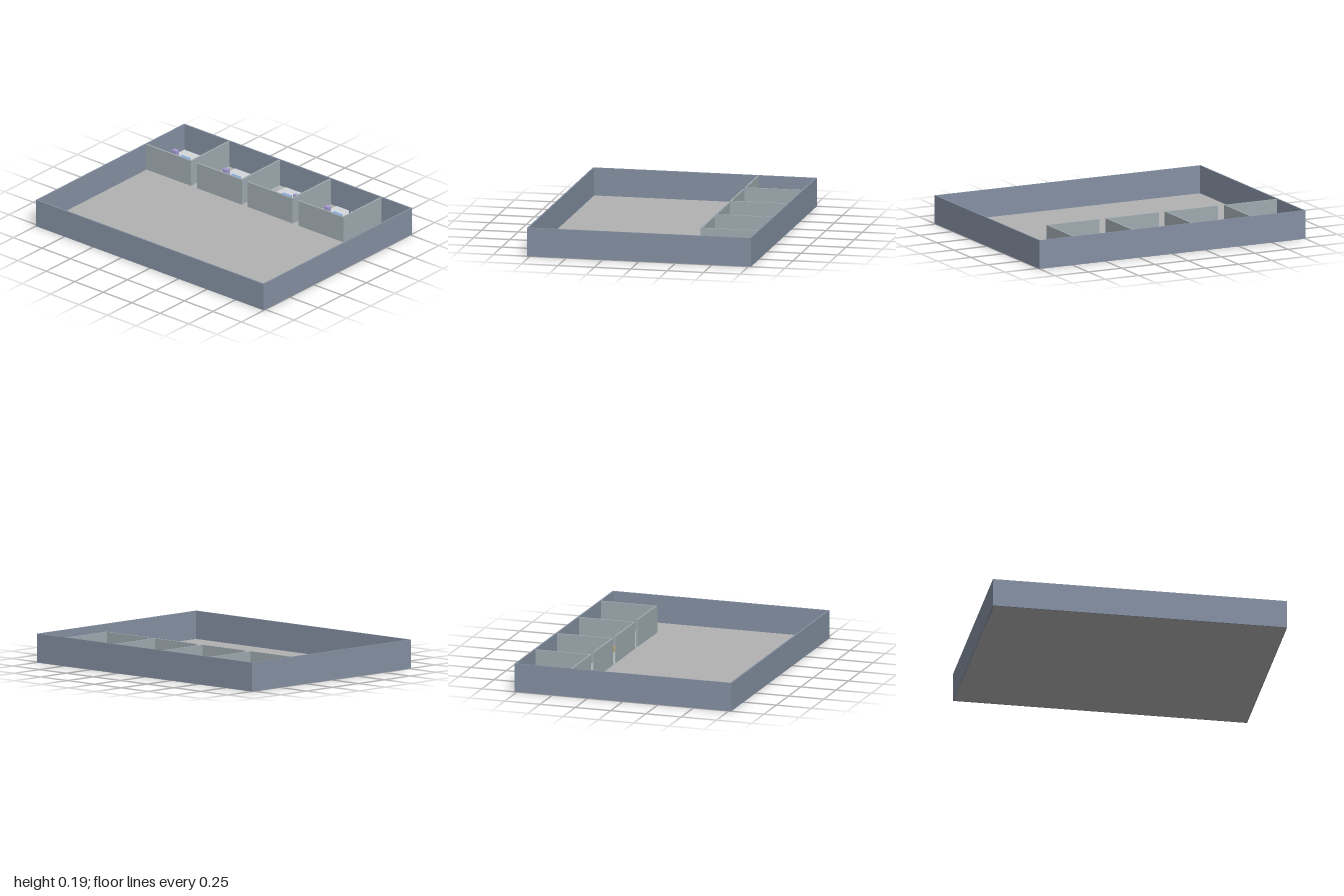
import * as THREE from 'three';

const material = (color) => new THREE.MeshStandardMaterial({ color });
const MAT = {
  ground: material(0xb2b2b2),
  outerWall: material(0x8591a3),
  roomWall: material(0xa0abb0),
  roomFloor: material(0xd3d7da),
  bed: material(0x7fabdf),
  table: material(0x5c6470),
  chest: material(0xd8b13c),
  cabinet: material(0xa79bd4),
  bin: material(0x5fb08f),
  post: material(0x8088a8),
};

// Box given by its extents along x, y and z
function box(parent, name, mat, [x0, x1], [y0, y1], [z0, z1]) {
  const mesh = new THREE.Mesh(new THREE.BoxGeometry(x1 - x0, y1 - y0, z1 - z0), mat);
  mesh.name = name;
  mesh.position.set((x0 + x1) / 2, (y0 + y1) / 2, (z0 + z1) / 2);
  parent.add(mesh);
}

const TOP = 0.195, DEPTH = 0.768, WALL = 0.01;
const FLOOR = 0.005, ROOM_FLOOR = 0.009;
const PITCH = 0.445;

// Loose items that differ between rooms: name, material, x, z, top (room-local x)
const EXTRAS = [
  [
    ['cabinet', 'cabinet', [0.015, 0.053], [-0.64, -0.61], 0.065],
    ['chest', 'chest', [0.275, 0.315], [-0.466, -0.428], 0.045],
    ['tableBox', 'chest', [0.24, 0.275], [-0.612, -0.565], 0.06],
  ],
  [
    ['cabinet', 'cabinet', [0.015, 0.053], [-0.64, -0.61], 0.065],
    ['chest', 'chest', [0.275, 0.315], [-0.45, -0.412], 0.045],
  ],
  [
    ['cabinet', 'cabinet', [0.185, 0.218], [-0.64, -0.615], 0.065],
    ['chest', 'chest', [0.25, 0.295], [-0.486, -0.436], 0.045],
    ['smallBin', 'bin', [0.307, 0.329], [-0.738, -0.72], 0.03],
  ],
  [
    ['cabinet', 'cabinet', [0.015, 0.053], [-0.64, -0.61], 0.065],
    ['sideCabinet', 'cabinet', [0.27, 0.309], [-0.562, -0.537], 0.06],
    ['post', 'post', [0.185, 0.195], [-0.68, -0.67], 0.105],
  ],
];

function createRoom(index) {
  const room = new THREE.Group();
  room.name = `room${index + 1}`;
  room.position.x = -0.99 + index * PITCH;

  // Floor with a front wall and one side partition; the other side stays open
  box(room, 'roomFloor', MAT.roomFloor, [0, 0.395], [0.003, ROOM_FLOOR], [-0.757, -0.362]);
  box(room, 'frontPartition', MAT.roomWall, [0, 0.395], [0.003, 0.193], [-0.374, -0.362]);
  box(room, 'sidePartition', MAT.roomWall, [0.383, 0.395], [0.003, 0.193], [-0.757, -0.374]);

  // Furniture shared by every room
  box(room, 'bed', MAT.bed, [0.076, 0.151], [ROOM_FLOOR, 0.035], [-0.643, -0.49]);
  box(room, 'table', MAT.table, [0.194, 0.269], [ROOM_FLOOR, 0.05], [-0.643, -0.565]);
  box(room, 'bin', MAT.bin, [0.018, 0.04], [ROOM_FLOOR, 0.03], [-0.487, -0.468]);

  for (const [name, mat, xs, zs, top] of EXTRAS[index]) {
    box(room, name, MAT[mat], xs, [ROOM_FLOOR, top], zs);
  }
  return room;
}

export function createModel() {
  const model = new THREE.Group();
  model.name = 'walledCompound';

  // Ground slab
  box(model, 'ground', MAT.ground, [-0.995, 0.995], [0, FLOOR], [-DEPTH + 0.005, DEPTH - 0.005]);

  // Perimeter walls
  for (const [side, s] of [['left', 1], ['right', -1]]) {
    const x = s * (1 - WALL / 2);
    box(model, `${side}Wall`, MAT.outerWall, [x - WALL / 2, x + WALL / 2], [0, TOP], [-DEPTH, DEPTH]);
  }
  for (const [side, s] of [['front', 1], ['back', -1]]) {
    const z = s * (DEPTH - WALL / 2);
    box(model, `${side}Wall`, MAT.outerWall, [-1 + WALL, 1 - WALL], [0, TOP], [z - WALL / 2, z + WALL / 2]);
  }

  // Row of rooms along the back wall
  for (let i = 0; i < EXTRAS.length; i++) model.add(createRoom(i));
  return model;
}
